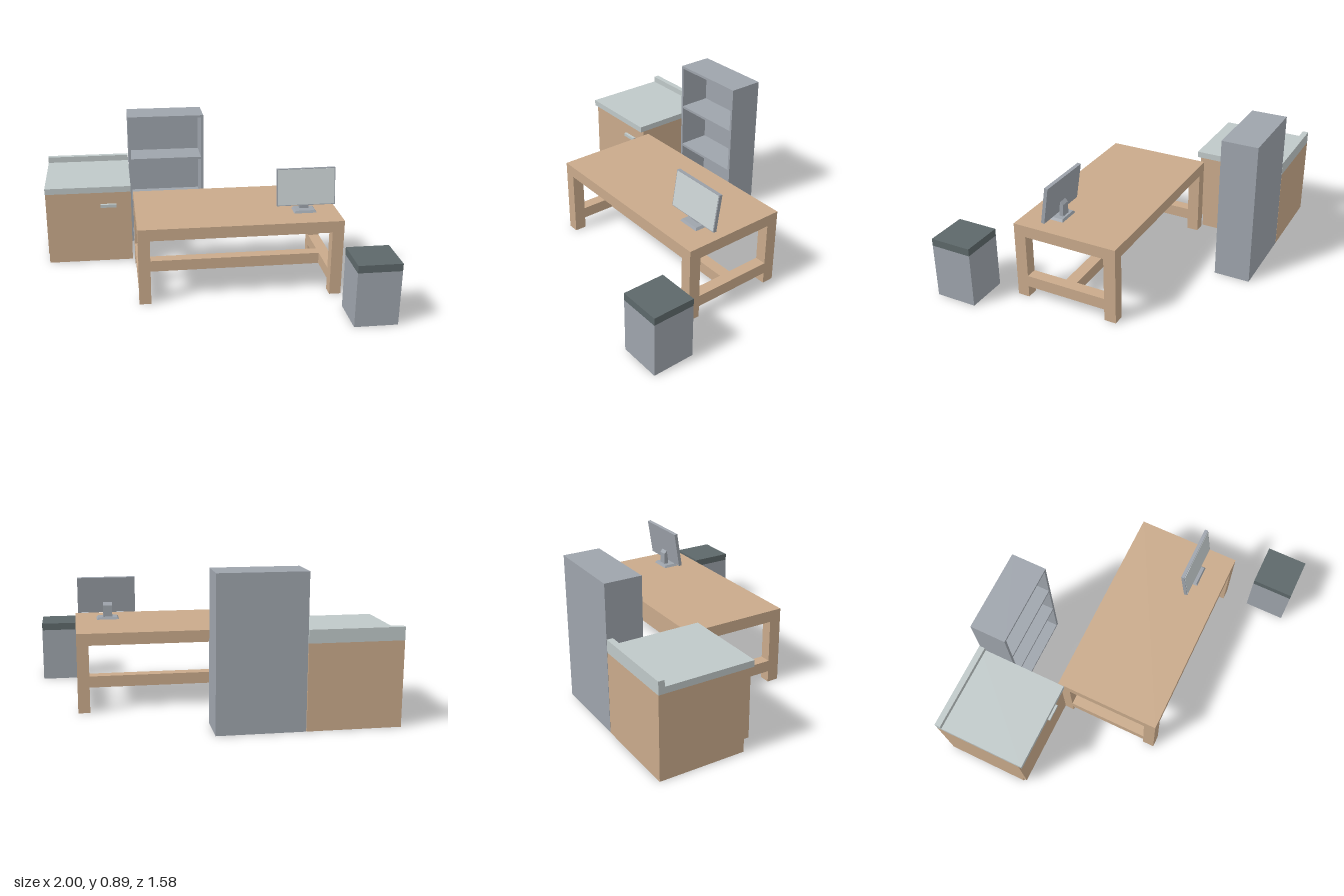
import * as THREE from 'three';

const mat = (name, color) => {
  const m = new THREE.MeshStandardMaterial({ color });
  m.name = name;
  return m;
};

export function createModel() {
  const wood = mat('wood', 0xc9aa8b);
  const grey = mat('greyMetal', 0x9ea4ac);
  const light = mat('lightGrey', 0xbfc8c8);
  const screenMat = mat('screenGrey', 0xc9d1d2);
  const dark = mat('darkGrey', 0x5d686a);

  const root = new THREE.Group();
  root.name = 'officeFurniture';
  const group = (name) => {
    const g = new THREE.Group();
    g.name = name;
    root.add(g);
    return g;
  };
  // Box given by its two extents on each axis
  const box = (parent, name, m, [x0, x1], [y0, y1], [z0, z1]) => {
    const mesh = new THREE.Mesh(new THREE.BoxGeometry(x1 - x0, y1 - y0, z1 - z0), m);
    mesh.position.set((x0 + x1) / 2, (y0 + y1) / 2, (z0 + z1) / 2);
    mesh.name = name;
    parent.add(mesh);
    return mesh;
  };

  // Desk: slab top, square legs, H-shaped stretchers
  const desk = group('desk');
  const legX = [[-0.443, -0.373], [0.708, 0.778]];
  const legZ = [[-0.273, -0.2], [0.303, 0.376]];
  box(desk, 'deskTop', wood, [-0.443, 0.778], [0.405, 0.476], [-0.273, 0.376]);
  for (const x of legX) {
    for (const z of legZ) box(desk, 'deskLeg', wood, x, [0, 0.405], z);
    box(desk, 'sideStretcher', wood, x, [0.072, 0.143], [-0.2, 0.303]);
  }
  box(desk, 'longStretcher', wood, [-0.373, 0.708], [0.072, 0.143], [0.016, 0.087]);

  // Cabinet: body over a recessed plinth, counter with rear upstand
  const cabinet = group('cabinet');
  box(cabinet, 'plinth', wood, [-1, -0.458], [0, 0.079], [-0.79, -0.275]);
  box(cabinet, 'cabinetBody', wood, [-1, -0.458], [0.079, 0.495], [-0.79, -0.245]);
  box(cabinet, 'counter', light, [-1, -0.458], [0.495, 0.533], [-0.79, -0.222]);
  box(cabinet, 'upstand', light, [-1, -0.458], [0.533, 0.571], [-0.79, -0.754]);
  box(cabinet, 'handle', light, [-0.655, -0.552], [0.39, 0.41], [-0.245, -0.226]);

  // Bookcase: outer panels, back and two inner shelves
  const bookcase = group('bookcase');
  const bz = [-0.79, -0.57], inner = [-0.439, 0.033];
  box(bookcase, 'sidePanel', grey, [-0.455, -0.439], [0, 0.887], bz);
  box(bookcase, 'sidePanel', grey, [0.033, 0.049], [0, 0.887], bz);
  box(bookcase, 'backPanel', grey, inner, [0, 0.887], [-0.79, -0.775]);
  for (const y of [0, 0.291, 0.581, 0.871]) {
    box(bookcase, 'shelf', grey, inner, [y, y + 0.016], [-0.775, -0.57]);
  }

  // Monitor stand: tapered foot and a neck with a sloping top
  const monitor = group('monitor');
  const foot = box(monitor, 'monitorFoot', grey, [0.508, 0.646], [0.476, 0.49], [0.132, 0.226]);
  const fp = foot.geometry.attributes.position;
  for (let i = 0; i < fp.count; i++) {
    if (fp.getY(i) > 0) fp.setXYZ(i, fp.getX(i) * 0.86, fp.getY(i), fp.getZ(i) * 0.84);
  }
  foot.geometry.computeVertexNormals();
  const neck = box(monitor, 'monitorNeck', grey, [0.549, 0.605], [0.488, 0.588], [0.153, 0.178]);
  const np = neck.geometry.attributes.position;
  for (let i = 0; i < np.count; i++) {
    if (np.getY(i) > 0 && np.getZ(i) < 0) np.setY(i, np.getY(i) - 0.026);
  }
  neck.geometry.computeVertexNormals();

  // Monitor panel leaning back
  const panel = new THREE.Group();
  panel.name = 'monitorPanel';
  panel.position.set(0.583, 0.628, 0.174);
  panel.rotation.x = -0.15;
  monitor.add(panel);
  box(panel, 'casing', grey, [-0.178, 0.178], [-0.113, 0.113], [-0.011, 0.01]);
  box(panel, 'screen', screenMat, [-0.173, 0.173], [-0.108, 0.108], [0.01, 0.012]);

  // Waste bin with a dark lid
  const bin = group('bin');
  box(bin, 'binBody', grey, [0.744, 1], [0, 0.335], [0.535, 0.79]);
  box(bin, 'binLid', dark, [0.744, 1], [0.335, 0.38], [0.535, 0.79]);

  return root;
}
